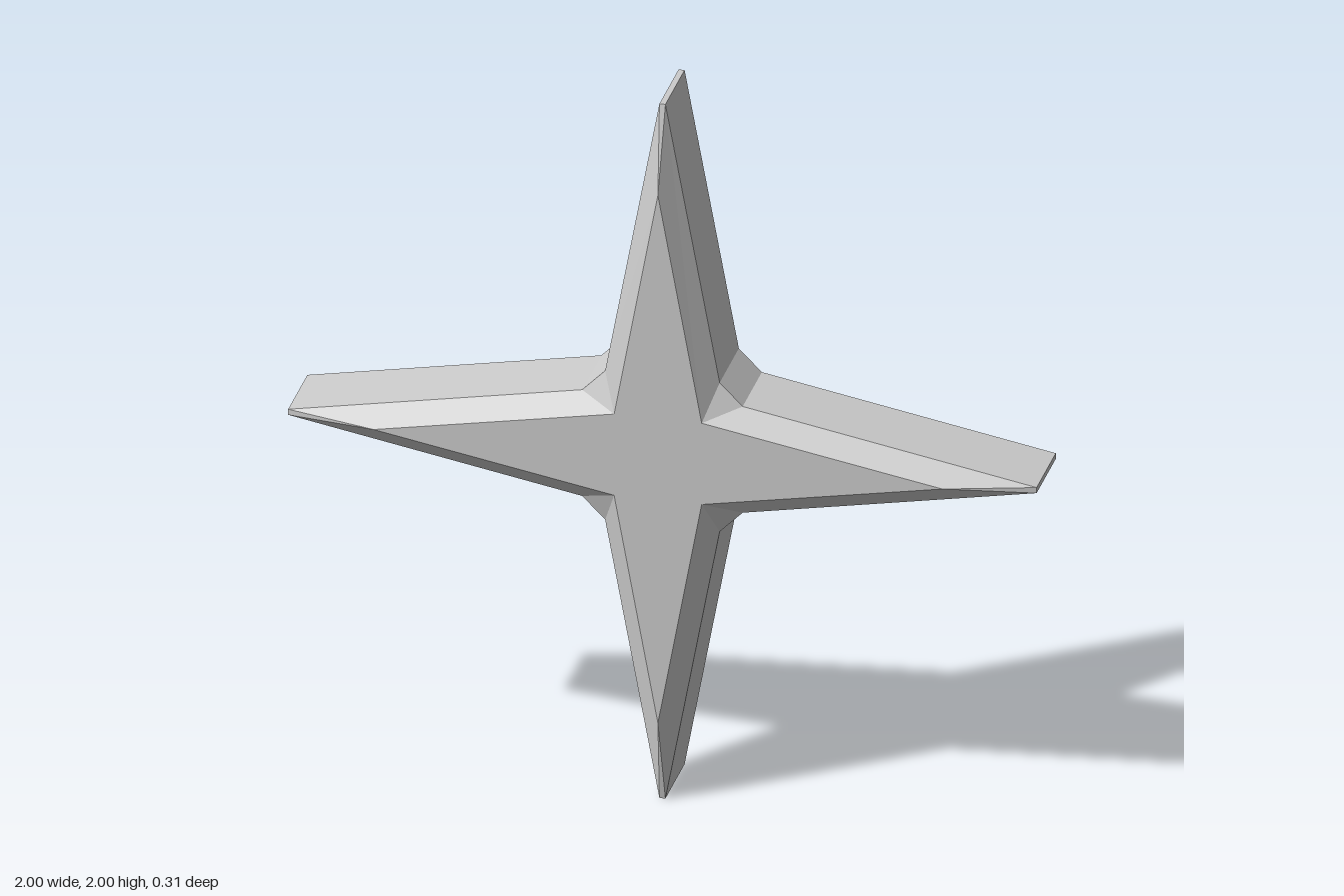
import * as THREE from 'three';

// One arm's outline, counter-clockwise: tip pair, then the chamfered corner pair
const RIM = [[1, -0.008], [1, 0.008], [0.2145, 0.153], [0.153, 0.2145]];
// Matching points of the raised flat face (each pair meets in one point)
const FACE = [[0.76, 0], [0.76, 0], [0.117, 0.117], [0.117, 0.117]];

// Repeats an arm outline four times around the centre at depth z
function ring(arm, z) {
  const points = [];
  for (let k = 0; k < 4; k++) {
    const c = [1, 0, -1, 0][k], s = [0, 1, 0, -1][k];
    for (const [x, y] of arm) points.push(new THREE.Vector3(x * c - y * s, x * s + y * c, z));
  }
  return points;
}

function starGeometry() {
  const rings = [ring(FACE, 0.156), ring(RIM, 0.106), ring(RIM, -0.106), ring(FACE, -0.156)];
  const positions = [];
  const triangle = (a, b, c) => {
    if (a.equals(b) || b.equals(c) || c.equals(a)) return;
    for (const p of [a, b, c]) positions.push(p.x, p.y, p.z);
  };
  const front = new THREE.Vector3(0, 0, 0.156), back = new THREE.Vector3(0, 0, -0.156);
  const n = rings[0].length;
  for (let i = 0; i < n; i++) {
    const j = (i + 1) % n;
    // Flat star faces
    triangle(front, rings[0][i], rings[0][j]);
    triangle(back, rings[3][j], rings[3][i]);
    // Front bevel, side wall, back bevel
    for (let r = 0; r < 3; r++) {
      triangle(rings[r][i], rings[r + 1][i], rings[r + 1][j]);
      triangle(rings[r][i], rings[r + 1][j], rings[r][j]);
    }
  }
  const geometry = new THREE.BufferGeometry();
  geometry.setAttribute('position', new THREE.Float32BufferAttribute(positions, 3));
  geometry.computeVertexNormals();
  return geometry;
}

export function createModel() {
  const model = new THREE.Group();
  model.name = 'fourPointedStar';
  const grey = new THREE.MeshStandardMaterial({ color: 0xcccccc });
  grey.name = 'light grey';
  grey.flatShading = true;
  const star = new THREE.Mesh(starGeometry(), grey);
  star.name = 'bevelledStar';
  star.position.y = 1;
  model.add(star);
  return model;
}
